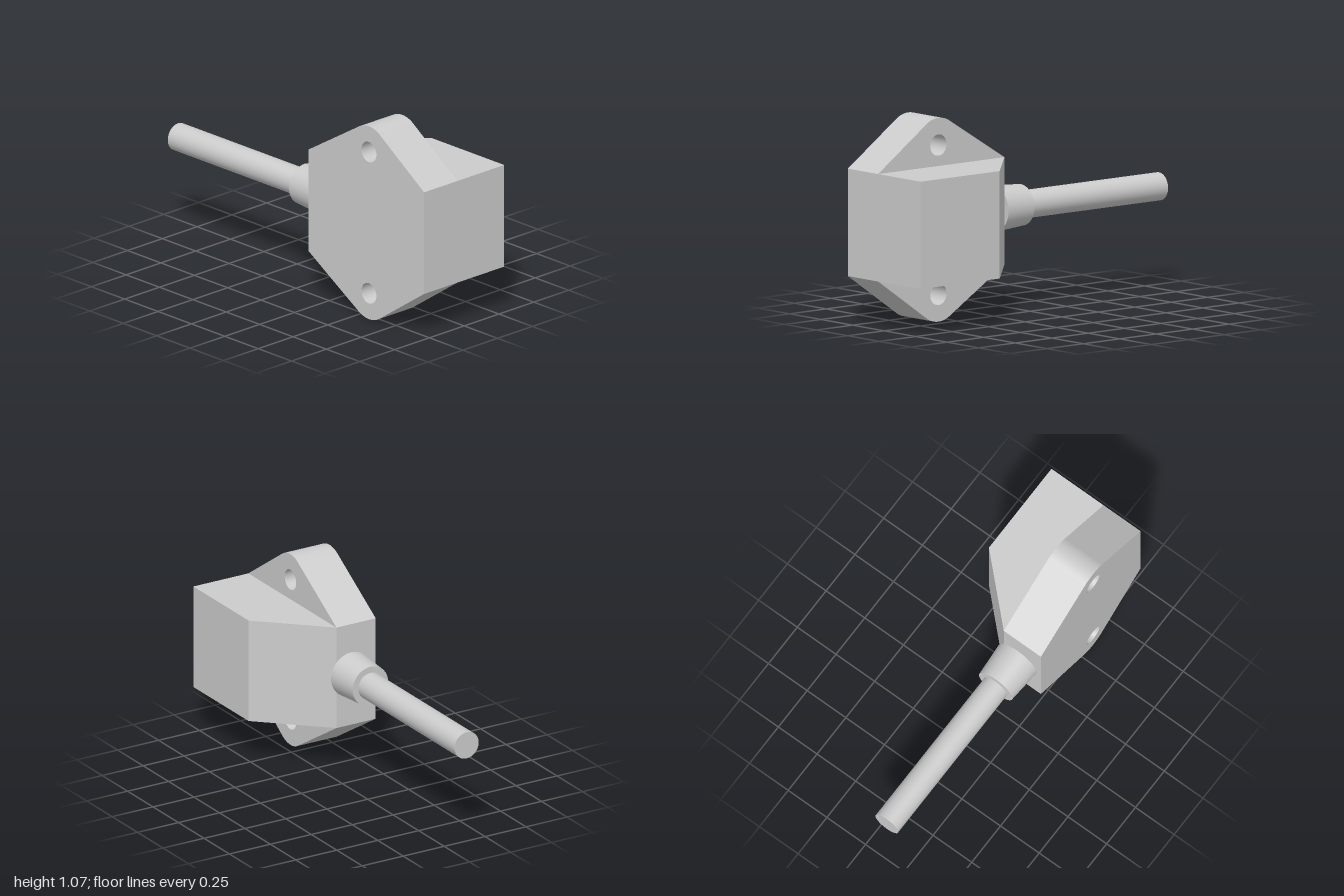
import * as THREE from 'three';

const material = new THREE.MeshStandardMaterial({ color: 0xcccccc });

const MID_Y = 0.535;              // horizontal symmetry plane
const LEFT = 0.135, RIGHT = 1;    // housing extent in x
const HALF_H = 0.282;             // half height of the housing
const BACK = -0.288, FLANGE_BACK = 0.048, FRONT = 0.288;
const EAR = { x: 0.587, y: 0.392, r: 0.143, hole: 0.056 };

function part(name, geometry) {
  const mesh = new THREE.Mesh(geometry, material);
  mesh.name = name;
  return mesh;
}

// Angle on the ear's rounding where a line from the housing corner touches it
function tangentAngle(cornerX) {
  const dx = Math.abs(EAR.x - cornerX), dy = EAR.y - HALF_H;
  const slope = Math.atan2(dy, dx) + Math.asin(EAR.r / Math.hypot(dx, dy));
  return cornerX < EAR.x ? Math.PI / 2 + slope : Math.PI / 2 - slope;
}

// Round part along x between two ends, with a radius at each end
function roundAlongX(name, x0, x1, r0, r1) {
  const geometry = new THREE.CylinderGeometry(r0, r1, x1 - x0, 64);
  geometry.rotateZ(Math.PI / 2); // top end points to -x
  geometry.translate((x0 + x1) / 2, MID_Y + 0.002, 0.1375);
  return part(name, geometry);
}

export function createModel() {
  const group = new THREE.Group();
  group.name = 'cabledSensor';

  // Mounting flange: rounded ears above and below, one screw hole in each
  const a = tangentAngle(RIGHT), b = tangentAngle(LEFT);
  const outline = new THREE.Shape();
  outline.moveTo(RIGHT, -HALF_H);
  outline.lineTo(RIGHT, HALF_H);
  outline.absarc(EAR.x, EAR.y, EAR.r, a, b, false);
  outline.lineTo(LEFT, HALF_H);
  outline.lineTo(LEFT, -HALF_H);
  outline.absarc(EAR.x, -EAR.y, EAR.r, -b, -a, false);
  outline.closePath();
  for (const side of [1, -1]) {
    const hole = new THREE.Path();
    hole.absarc(EAR.x, side * EAR.y, EAR.hole, 0, Math.PI * 2, true);
    outline.holes.push(hole);
  }
  const flange = new THREE.ExtrudeGeometry(outline, {
    depth: FRONT - FLANGE_BACK, bevelEnabled: false, curveSegments: 32,
  });
  flange.translate(0, MID_Y, FLANGE_BACK);
  group.add(part('mountingFlange', flange));

  // Rear housing: slanted plan profile (x, -z) extruded upwards
  const plan = new THREE.Shape([
    new THREE.Vector2(LEFT, -FLANGE_BACK),
    new THREE.Vector2(RIGHT, -FLANGE_BACK),
    new THREE.Vector2(RIGHT, -BACK),
    new THREE.Vector2(0.457, -BACK),
  ]);
  const housing = new THREE.ExtrudeGeometry(plan, { depth: HALF_H * 2, bevelEnabled: false });
  housing.rotateX(-Math.PI / 2);
  housing.translate(0, MID_Y - HALF_H, 0);
  group.add(part('rearHousing', housing));

  // Tapered strain relief and cable
  group.add(roundAlongX('strainRelief', -0.055, LEFT, 0.108, 0.122));
  group.add(roundAlongX('cable', -1, -0.055, 0.0735, 0.0735));

  return group;
}
